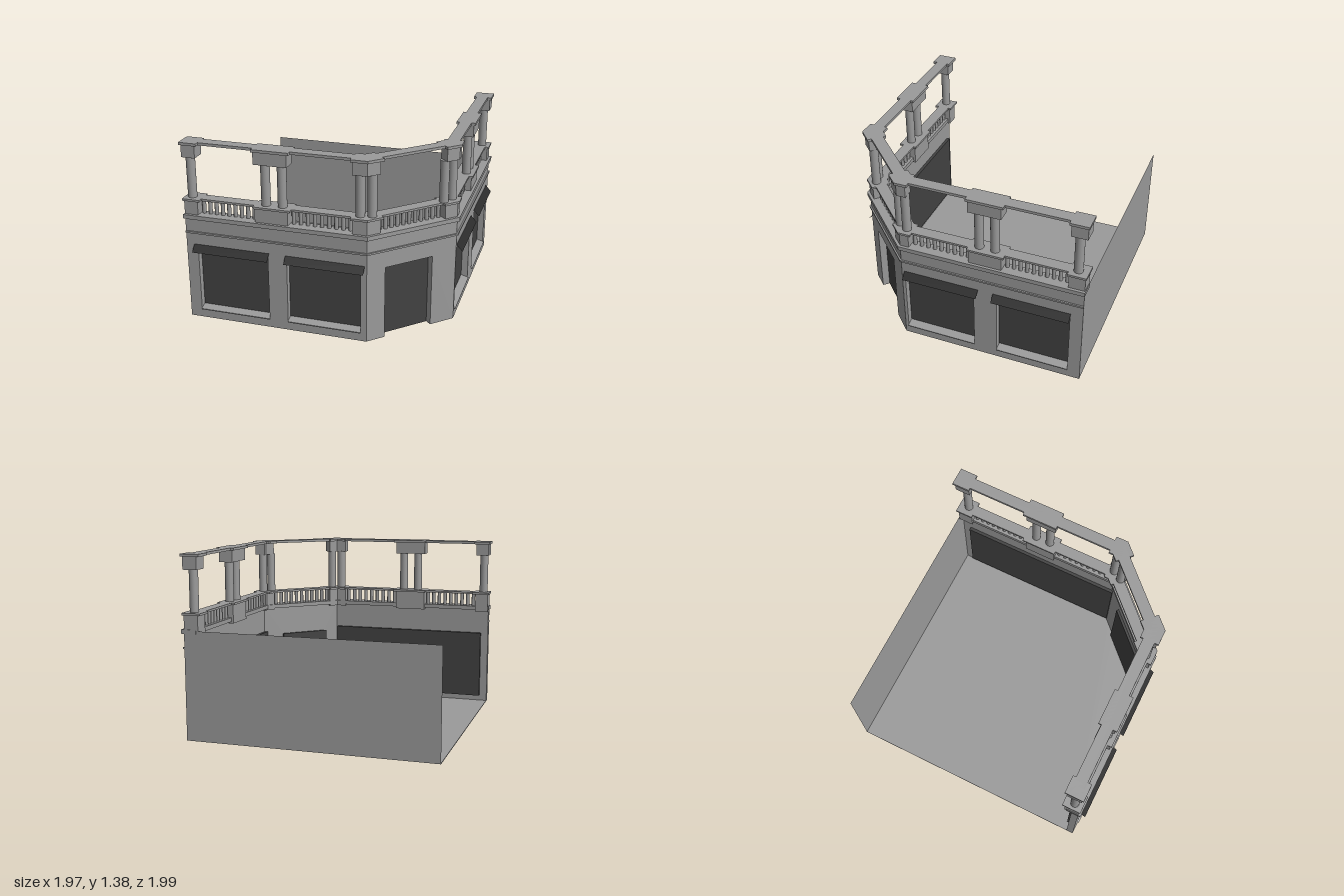
import * as THREE from 'three';

const stone = new THREE.MeshStandardMaterial({ color: 0x9a9a9a });
const stoneThin = new THREE.MeshStandardMaterial({ color: 0x9a9a9a, side: THREE.DoubleSide });
const glass = new THREE.MeshStandardMaterial({ color: 0x424242 });
const canvas = new THREE.MeshStandardMaterial({ color: 0x2c2c2c });

// Facade line: front, chamfered corner, right side
const R = Math.SQRT1_2;
const sides = [
  { s: 0, len: 1.385, x: -0.98, z: 0.95, dir: [1, 0], nor: [0, 1], turn: 0 },
  { s: 1.385, len: 0.75, x: 0.405, z: 0.95, dir: [R, -R], nor: [R, R], turn: Math.PI / 4 },
  { s: 2.135, len: 1.405, x: 0.935, z: 0.42, dir: [0, -1], nor: [1, 0], turn: Math.PI / 2 },
];
const C1 = 1.385, C2 = 2.135, END = 3.54, WALL = 0.055, BACK = -0.985;
const MITRE = Math.tan(Math.PI / 8);

// Point at distance s along the facade, pushed out by o
function at(s, o) {
  const f = sides[s < C1 ? 0 : s < C2 ? 1 : 2], t = s - f.s;
  return [f.x + f.dir[0] * t + f.nor[0] * o, f.z + f.dir[1] * t + f.nor[1] * o];
}

// Line from s0 to s1 at offset o, mitred at the two corners
function line(s0, s1, o) {
  const pts = [at(s0, o)];
  if (s0 < C1 && s1 > C1) pts.push([sides[1].x + o * MITRE, sides[1].z + o]);
  if (s0 < C2 && s1 > C2) pts.push([sides[2].x + o, sides[2].z + o * MITRE]);
  pts.push(at(s1, o));
  return pts;
}

function add(parent, name, geo, mat = stone) {
  const mesh = new THREE.Mesh(geo, mat);
  mesh.name = name;
  parent.add(mesh);
  return mesh;
}

// Upright prism over a plan outline of [x, z] points
function prism(parent, name, pts, y0, y1) {
  const shape = new THREE.Shape(pts.map(([x, z]) => new THREE.Vector2(x, -z)));
  const geo = new THREE.ExtrudeGeometry(shape, { depth: y1 - y0, bevelEnabled: false });
  geo.rotateX(-Math.PI / 2).translate(0, y0, 0);
  add(parent, name, geo);
}

function band(parent, name, s0, s1, inner, outer, y0, y1) {
  prism(parent, name, [...line(s0, s1, outer), ...line(s0, s1, inner).reverse()], y0, y1);
}

function rect(Type, x0, x1, y0, y1) {
  return new Type([[x0, y0], [x1, y0], [x1, y1], [x0, y1]].map(p => new THREE.Vector2(...p)));
}

function box(parent, name, x0, x1, y0, y1, z0, z1, mat) {
  const geo = new THREE.BoxGeometry(x1 - x0, y1 - y0, z1 - z0);
  geo.translate((x0 + x1) / 2, (y0 + y1) / 2, (z0 + z1) / 2);
  return add(parent, name, geo, mat);
}

// Group whose x runs along a facade side and whose z points outwards
function sideGroup(root, f, name) {
  const g = new THREE.Group();
  g.name = name;
  g.position.set(f.x, 0, f.z);
  g.rotation.y = f.turn;
  root.add(g);
  return g;
}

function wallGeometry(shape) {
  return new THREE.ExtrudeGeometry(shape, { depth: WALL, bevelEnabled: false }).translate(0, 0, -WALL);
}

function windowWall(root, f, name, windows, awnings, panel) {
  const g = sideGroup(root, f, name);
  const shape = rect(THREE.Shape, 0, f.len, 0, 0.81);
  for (const [a, b] of windows) shape.holes.push(rect(THREE.Path, a, b, 0.07, 0.57));
  add(g, 'wall', wallGeometry(shape));
  // One dark pane behind both openings
  box(g, 'windowPane', panel[0], panel[1], 0.05, 0.6, -WALL - 0.025, -WALL + 0.004, glass);
  for (const [a, b] of windows) {
    // Sill with its front edge lowered
    const sill = box(g, 'windowSill', a, b, 0.065, 0.09, -WALL, 0.01);
    const p = sill.geometry.attributes.position;
    for (let i = 0; i < p.count; i++) if (p.getZ(i) > 0 && p.getY(i) > 0.08) p.setY(i, 0.072);
    sill.geometry.computeVertexNormals();
  }
  // Sloping awning sheets, seen from above only
  const reach = 0.046, drop = 0.05;
  for (const [a, b] of awnings) {
    const awning = add(g, 'awning', new THREE.PlaneGeometry(b - a, Math.hypot(reach, drop)), canvas);
    awning.position.set((a + b) / 2, 0.575, reach / 2);
    awning.rotation.x = -Math.atan2(reach, drop);
  }
}

export function createModel() {
  const root = new THREE.Group();
  root.name = 'cornerShop';

  // Shop walls
  windowWall(root, sides[0], 'frontSide', [[0.09, 0.64], [0.785, 1.34]],
    [[0.06, 0.65], [0.775, 1.37]], [0.06, 1.35]);
  windowWall(root, sides[2], 'rightSide', [[0.025, 0.575], [0.755, 1.31]],
    [[0.02, 0.61], [0.725, 1.315]], [0.01, 1.34]);

  // Corner wall with a doorway, its ends mitred to meet the side walls
  const corner = sideGroup(root, sides[1], 'cornerSide');
  const d0 = 0.15, d1 = 0.545, doorTop = 0.56, len = sides[1].len;
  const cornerGeo = wallGeometry(new THREE.Shape([[0, 0], [d0, 0], [d0, doorTop], [d1, doorTop],
    [d1, 0], [len, 0], [len, 0.81], [0, 0.81]].map(p => new THREE.Vector2(...p))));
  const cp = cornerGeo.attributes.position;
  for (let i = 0; i < cp.count; i++) {
    const x = cp.getX(i), cut = -cp.getZ(i) * MITRE;
    if (x < 0.01) cp.setX(i, x + cut);
    else if (x > len - 0.01) cp.setX(i, x - cut);
  }
  cornerGeo.computeVertexNormals();
  add(corner, 'wall', cornerGeo);
  box(corner, 'door', d0 - 0.01, d1 + 0.01, 0, doorTop + 0.01, -WALL - 0.02, -WALL, glass);

  // Floor with a notch at the door, and the plain back wall
  prism(root, 'floor', [at(0, 0), at(C1, 0), at(C1 + d0, 0), at(C1 + d0, -WALL),
    at(C1 + d1, -WALL), at(C1 + d1, 0), at(C2, 0), at(END, 0), [-0.98, BACK]], 0, 0.006);
  const back = add(root, 'backWall', new THREE.PlaneGeometry(1.915, 0.825), stoneThin);
  back.position.set(-0.0225, 0.4125, BACK);
  back.rotation.y = Math.PI;

  // Mouldings
  band(root, 'stringCourse', 0, END, -0.02, 0.012, 0.688, 0.702);
  band(root, 'cornice', -0.006, END + 0.006, -0.095, 0.02, 0.803, 0.835);

  // Pedestals and capitals share one rhythm along the facade: [start, end, inner offset]
  const piers = [[0, 0.105, -0.112], [0.55, 0.80, -0.112], [1.275, 1.491, -0.085],
    [2.029, 2.205, -0.085], [2.675, 2.925, -0.112], [3.42, END, -0.112]];
  for (const [a, b, inner] of piers) {
    band(root, 'pedestal', a, b, inner, -0.001, 0.79, 0.942);
    band(root, 'capital', a, b, inner, -0.002, 1.27, 1.367);
  }

  // Hand rail and top beam, wider over each pier
  for (const [name, y0, y1] of [['handRail', 0.94, 0.956], ['topBeam', 1.365, 1.385]]) {
    band(root, name, 0, END, -0.11, -0.02, y0, y1);
    for (const [a, b] of piers) {
      const lo = a === 0 ? -0.01 : a - 0.01, hi = b === END ? END + 0.01 : b + 0.02;
      band(root, name + 'Pad', lo, hi, -0.133, 0.012, y0, y1);
    }
  }

  // Columns
  const columnGeo = new THREE.CylinderGeometry(0.034, 0.034, 0.32, 20);
  for (const s of [0.045, 0.62, 0.745, 1.32, 1.45, 2.039, 2.173, 2.74, 2.86, 3.472]) {
    const [x, z] = at(s, s > C1 && s < C2 ? -0.044 : -0.055);
    add(root, 'column', columnGeo).position.set(x, 1.113, z);
  }

  // Balusters between the piers
  const balusterGeo = new THREE.CylinderGeometry(0.015, 0.015, 0.11, 10);
  for (let i = 0; i + 1 < piers.length; i++) {
    const a = piers[i][1], gap = piers[i + 1][0] - a, n = Math.round(gap / 0.05);
    for (let k = 0; k < n; k++) {
      const [x, z] = at(a + gap * (k + 0.5) / n, -0.06);
      add(root, 'baluster', balusterGeo).position.set(x, 0.888, z);
    }
  }
  return root;
}
